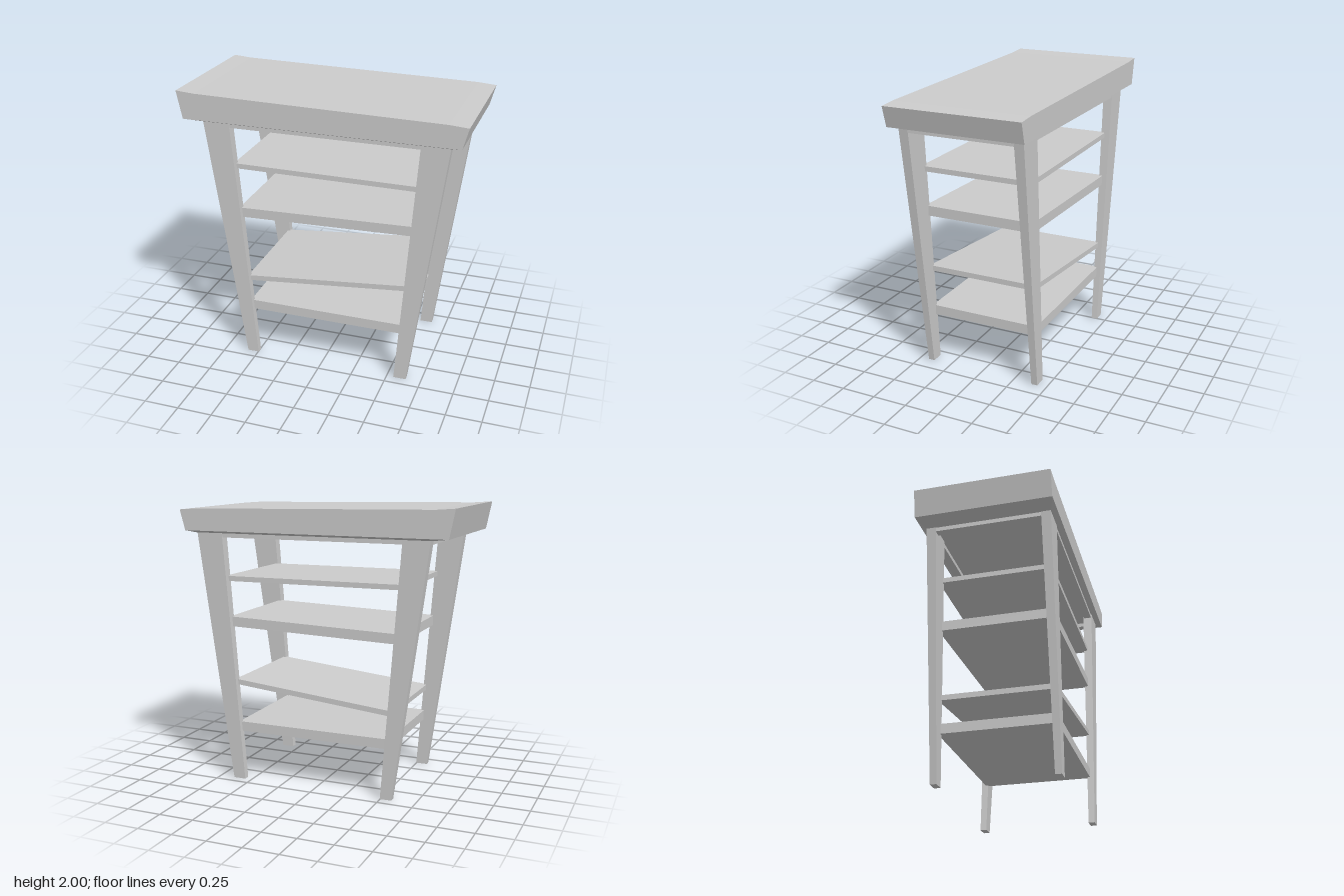
import * as THREE from 'three';

const material = new THREE.MeshStandardMaterial({ color: 0xcccccc, flatShading: true });

// Six-sided block whose corners come from a rule over u, v, w (each 0 or 1 along x, y, z)
function block(name, rule) {
  const geo = new THREE.BoxGeometry(1, 1, 1);
  const p = geo.attributes.position;
  for (let i = 0; i < p.count; i++) {
    p.setXYZ(i, ...rule(p.getX(i) + 0.5, p.getY(i) + 0.5, p.getZ(i) + 0.5));
  }
  geo.computeVertexNormals();
  const mesh = new THREE.Mesh(geo, material);
  mesh.name = name;
  return mesh;
}

// Block tapering between two rectangles [x0, x1, z0, z1, y]
function taper(name, bottom, top) {
  return block(name, (u, v, w) => {
    const r = v > 0.5 ? top : bottom;
    return [u > 0.5 ? r[1] : r[0], r[4], w > 0.5 ? r[3] : r[2]];
  });
}

export function createModel() {
  const model = new THREE.Group();
  model.name = 'shelfTable';

  // Skewed slab top with flared ends
  const profile = new THREE.Shape([
    [-0.96, 1.805], [0.96, 1.805], [1, 1.95], [0.87, 1.96], [-0.87, 1.99], [-1, 2],
  ].map(([x, y]) => new THREE.Vector2(x, y)));
  const slab = new THREE.ExtrudeGeometry(profile, { depth: 0.97, bevelEnabled: false });
  slab.translate(0, 0, -0.485);
  const top = new THREE.Mesh(slab, material);
  top.name = 'tableTop';
  model.add(top);

  // Shallow sloping underside of the top
  model.add(taper('topUnderside',
    [-0.84, 0.89, -0.45, 0.45, 1.79], [-0.96, 0.96, -0.485, 0.485, 1.805]));

  // Thin apron frame joining the legs
  const apron = new THREE.Group();
  apron.name = 'apron';
  const rail = (x0, x1, z0, z1) =>
    apron.add(taper('apronRail', [x0, x1, z0, z1, 1.76], [x0, x1, z0, z1, 1.795]));
  rail(-0.77, 0.83, 0.385, 0.44);
  rail(-0.77, 0.83, -0.44, -0.385);
  rail(-0.825, -0.77, -0.44, 0.44);
  rail(0.825, 0.88, -0.44, 0.44);
  model.add(apron);

  // Tapered, splayed legs
  for (const [side, b0, b1, t0, t1] of [
    ['right', -0.58, -0.497, -0.83, -0.64],
    ['left', 0.55, 0.64, 0.69, 0.885],
  ]) {
    for (const [end, s] of [['Front', 1], ['Back', -1]]) {
      const zb = [0.388 * s, 0.433 * s].sort((a, b) => a - b);
      const zt = [0.377 * s, 0.445 * s].sort((a, b) => a - b);
      model.add(taper(side + end + 'Leg', [b0, b1, ...zb, 0], [t0, t1, ...zt, 1.793]));
    }
  }

  // Shelves: ends, underside heights at each end, thickness
  for (const [x0, x1, y0, y1, t] of [
    [-0.55, 0.6, 0.355, 0.355, 0.07],
    [-0.565, 0.625, 0.588, 0.703, 0.038],
    [-0.61, 0.66, 1.09, 1.126, 0.07],
    [-0.635, 0.69, 1.456, 1.45, 0.036],
  ]) {
    model.add(block('shelf', (u, v, w) =>
      [u > 0.5 ? x1 : x0, (u > 0.5 ? y1 : y0) + v * t, (w - 0.5) * 0.81]));
  }
  return model;
}
